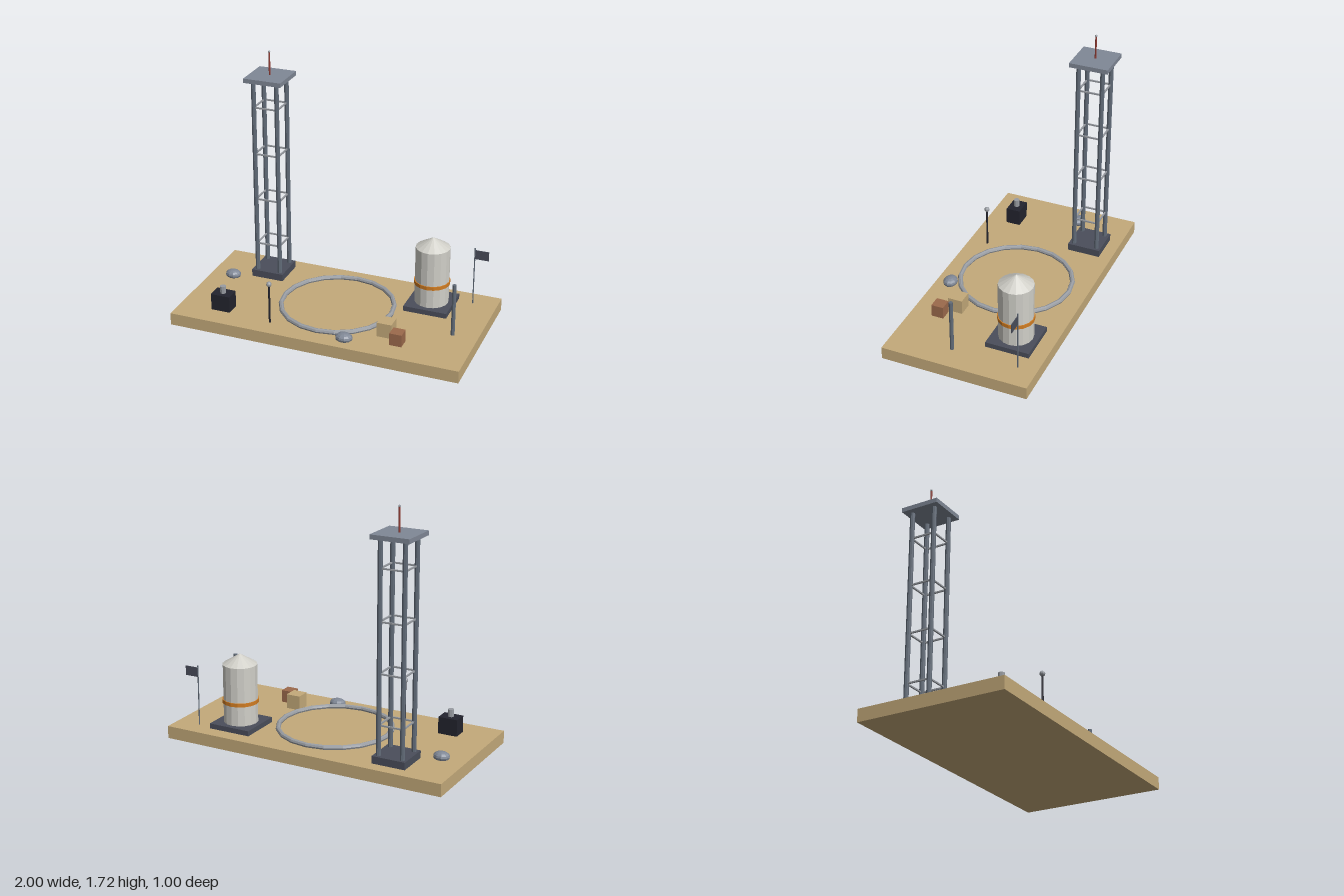
import * as THREE from 'three';

const mat = (name, color) => {
  const m = new THREE.MeshStandardMaterial({ color, flatShading: true });
  m.name = name;
  return m;
};

export function createModel() {
  const sand = mat('sand', 0xc4aa7a);
  const steel = mat('steel', 0x626c79);
  const blueGrey = mat('blueGrey', 0x808896);
  const slate = mat('slate', 0x4a4e5b);
  const black = mat('black', 0x23242e);
  const white = mat('tankWhite', 0xd0cfc8);
  const orange = mat('orange', 0xd07c22);
  const red = mat('red', 0x8f3a32);
  const brown = mat('brown', 0x9c6a4c);
  const grey = mat('lightGrey', 0x989ca2);

  const root = new THREE.Group();
  root.name = 'launchSite';
  const G = 0.085; // ground level

  const group = (name, x, z) => {
    const g = new THREE.Group();
    g.name = name;
    g.position.set(x, 0, z);
    root.add(g);
    return g;
  };
  const add = (parent, name, geo, material, x, y, z) => {
    const m = new THREE.Mesh(geo, material);
    m.name = name;
    m.position.set(x, y, z);
    parent.add(m);
    return m;
  };
  // Boxes and cylinders are placed by their bottom and top heights
  const box = (p, name, material, w, d, y0, y1, x = 0, z = 0) =>
    add(p, name, new THREE.BoxGeometry(w, y1 - y0, d), material, x, (y0 + y1) / 2, z);
  const cyl = (p, name, material, r, y0, y1, x = 0, z = 0, sides = 8, rTop = r) =>
    add(p, name, new THREE.CylinderGeometry(rTop, r, y1 - y0, sides), material, x, (y0 + y1) / 2, z);

  box(root, 'ground', sand, 2, 1, 0, G);

  // Lattice tower
  const tower = group('tower', -0.6, -0.3);
  const s = 0.083;
  box(tower, 'towerBase', slate, 0.23, 0.23, G, 0.135);
  for (const x of [-s, s]) for (const z of [-s, s]) cyl(tower, 'towerLeg', steel, 0.0165, 0.13, 1.52, x, z);
  for (const y of [0.335, 0.67, 1.003, 1.337]) {
    for (const e of [-s, s]) {
      box(tower, 'crossBar', grey, 2 * s, 0.01, y - 0.005, y + 0.005, 0, e);
      box(tower, 'crossBar', grey, 0.01, 2 * s, y - 0.005, y + 0.005, e, 0);
    }
  }
  box(tower, 'towerPlatform', blueGrey, 0.265, 0.265, 1.52, 1.55);
  cyl(tower, 'mast', red, 0.006, 1.55, 1.705);
  add(tower, 'mastTip', new THREE.SphereGeometry(0.008, 8, 6), grey, 0, 1.71, 0);

  // Storage tank
  const tank = group('tank', 0.58, -0.25);
  box(tank, 'tankPad', slate, 0.3, 0.3, G, 0.12);
  cyl(tank, 'tankBody', white, 0.116, 0.12, 0.52, 0, 0, 16);
  cyl(tank, 'tankRoof', white, 0.116, 0.52, 0.59, 0, 0, 16, 0);
  cyl(tank, 'tankBand', orange, 0.122, 0.255, 0.28, 0, 0, 16);

  // Landing ring
  const ring = add(root, 'landingRing', new THREE.TorusGeometry(0.381, 0.0165, 8, 20), grey, 0, 0.101, 0);
  ring.rotation.x = Math.PI / 2;

  // Generator
  const generator = group('generator', -0.702, 0.3);
  box(generator, 'generatorBody', black, 0.134, 0.1, G, 0.2);
  cyl(generator, 'exhaust', grey, 0.021, 0.2, 0.25);

  // Ball lamp
  const lamp = group('lamp', -0.335, 0.367);
  cyl(lamp, 'lampPole', black, 0.007, G, 0.36);
  add(lamp, 'lampBall', new THREE.SphereGeometry(0.018, 10, 8), grey, 0, 0.368, 0);

  // Flag and post
  const flag = group('flag', 0.834, -0.37);
  cyl(flag, 'flagPole', steel, 0.004, G, 0.5);
  box(flag, 'flagCloth', slate, 0.096, 0.005, 0.42, 0.485, 0.048, 0);
  cyl(root, 'post', steel, 0.0135, G, 0.45, 0.832, 0.083);

  // Crates
  box(root, 'largeCrate', sand, 0.1, 0.1, G, 0.185, 0.43, 0.23);
  box(root, 'smallCrate', brown, 0.083, 0.083, G, 0.17, 0.533, 0.313);

  // Rocks
  for (const [x, z, r] of [[-0.836, -0.135, 0.056], [0.199, 0.398, 0.059]]) {
    const rock = add(root, 'rock', new THREE.SphereGeometry(1, 10, 8), blueGrey, x, 0.102, z);
    rock.scale.set(r, 0.033, r * 0.82);
  }
  return root;
}
